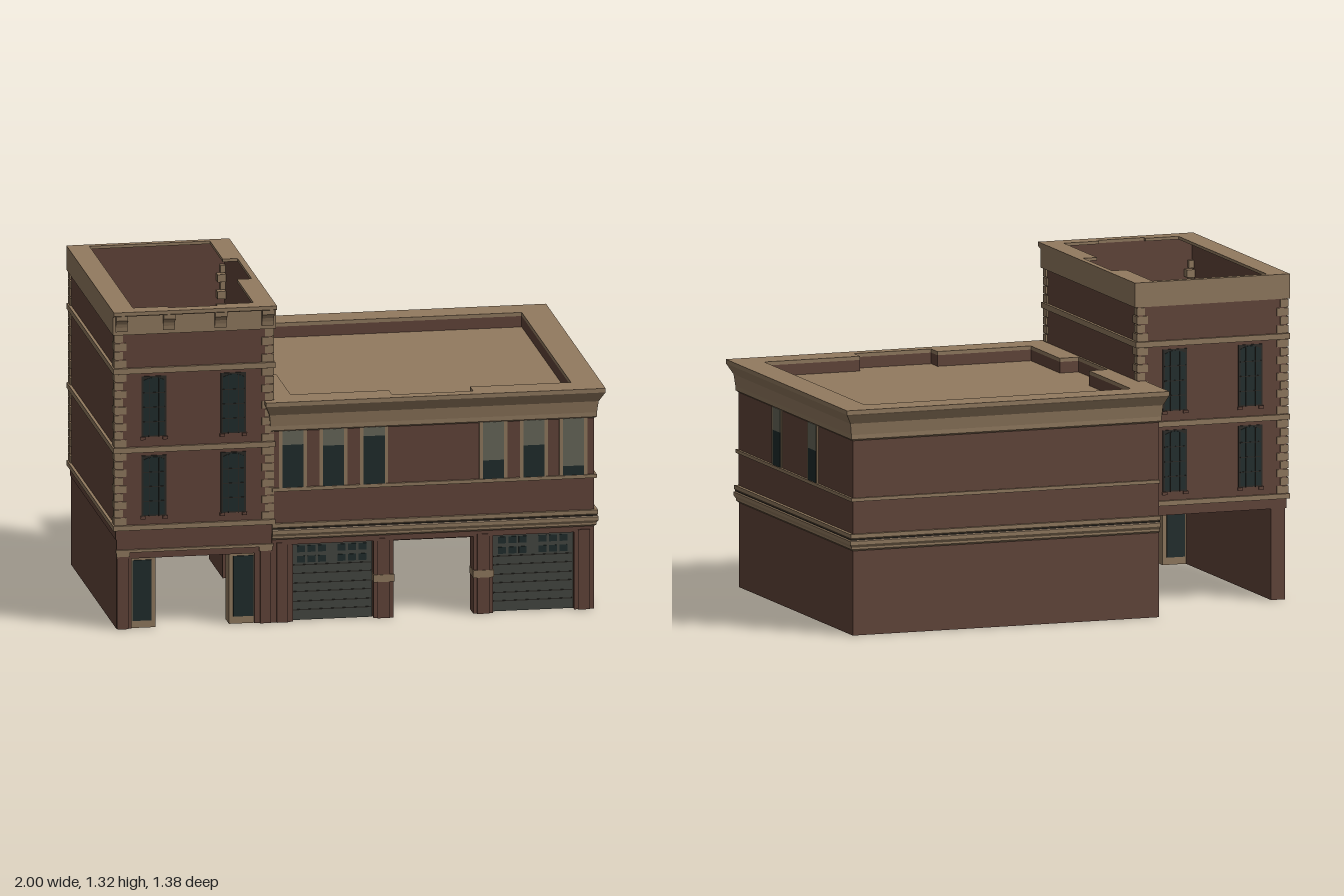
import * as THREE from 'three';

const mat = (name, color, side = THREE.FrontSide) => {
  const m = new THREE.MeshStandardMaterial({ color, side });
  m.name = name;
  return m;
};

export function createModel() {
  const brick = mat('brick', 0x624439, THREE.DoubleSide), stone = mat('stone', 0x927a5f);
  const glass = mat('dark glass', 0x1f2c2c), blind = mat('window blind', 0x67685a);
  const door = mat('garage door', 0x444741), dark = mat('dark trim', 0x2b2925);
  const root = new THREE.Group();
  root.name = 'cornerBuilding';

  const add = (parent, name, geo, m) => {
    const mesh = new THREE.Mesh(geo, m);
    mesh.name = name;
    parent.add(mesh);
    return mesh;
  };
  const group = (name, parent = root) => {
    const g = new THREE.Group();
    g.name = name;
    parent.add(g);
    return g;
  };
  // Box given by its limits
  const box = (parent, name, m, x0, x1, y0, y1, z0, z1) => {
    const mesh = add(parent, name, new THREE.BoxGeometry(x1 - x0, y1 - y0, z1 - z0), m);
    mesh.position.set((x0 + x1) / 2, (y0 + y1) / 2, (z0 + z1) / 2);
    return mesh;
  };
  const rect = (x0, x1, z0, z1) => [[x0, z1], [x1, z1], [x1, z0], [x0, z0]];
  // Floor plan outline [x, z] with a hole, raised from y0 to y1
  const plan = (parent, name, m, outer, hole, y0, y1) => {
    const pts = a => a.map(([x, z]) => new THREE.Vector2(x, -z));
    const s = new THREE.Shape(pts(outer));
    s.holes.push(new THREE.Path(pts(hole)));
    const geo = new THREE.ExtrudeGeometry(s, { depth: y1 - y0, bevelEnabled: false });
    geo.rotateX(-Math.PI / 2).translate(0, y0, 0);
    return add(parent, name, geo, m);
  };
  // Skin through successive rings of points
  const skin = (parent, name, m, rings) => {
    const v = [];
    for (let i = 0; i + 1 < rings.length; i++) {
      const lo = rings[i], hi = rings[i + 1];
      lo.forEach((a, j) => {
        const n = (j + 1) % lo.length;
        v.push(...a, ...lo[n], ...hi[n], ...a, ...hi[n], ...hi[j]);
      });
    }
    const geo = new THREE.BufferGeometry();
    geo.setAttribute('position', new THREE.Float32BufferAttribute(v, 3));
    geo.computeVertexNormals();
    return add(parent, name, geo, m);
  };
  // Hollow wall, open at top and bottom
  const wall = (parent, name, outline, y0, y1) =>
    skin(parent, name, brick, [y0, y1].map(y => outline.map(([x, z]) => [x, y, z])));
  // Moulding: profile [offset, y] run around a rectangle with mitred corners;
  // k scales the offset on the left, right, back and front sides
  const moulding = (parent, name, m, [x0, x1, z0, z1], profile, k = [1, 1, 1, 1]) =>
    skin(parent, name, m, profile.map(([o, y]) =>
      rect(x0 - o * k[0], x1 + o * k[1], z0 - o * k[2], z1 + o * k[3]).map(([x, z]) => [x, y, z])));
  const band = (parent, name, m, r, y0, y1, o, k) =>
    moulding(parent, name, m, r, [[0, y0], [o, y0], [o, y1], [0, y1]], k);

  const main = [-0.35, 0.96, -0.65, 0.65], tower = [-0.985, -0.35, -0.41, 0.65];
  const block = [brick, brick, stone, stone, brick, brick]; // stone roof and ceiling

  // ---- Main block, ground floor: open in the middle bay and towards the tower
  const ground = group('mainGroundFloor');
  wall(ground, 'backAndSideWalls', [[0.96, 0.645], [0.96, -0.65], [-0.35, -0.65], [-0.35, -0.405], [-0.42, -0.405],
    [-0.42, -0.09], [-0.26, -0.09], [-0.26, -0.42], [-0.22, -0.53], [-0.1, -0.57], [0.72, -0.57], [0.84, -0.53],
    [0.88, -0.42], [0.88, 0.645]], 0, 0.37);
  wall(ground, 'dividerFront', rect(-0.42, -0.262, 0.24, 0.642), 0, 0.37);
  box(ground, 'lintel', brick, -0.35, 0.88, 0.32, 0.36, 0.57, 0.648);
  for (const [x0, x1] of [[-0.345, -0.27], [0.065, 0.145], [0.47, 0.55], [0.88, 0.959]]) {
    wall(ground, 'pier', rect(x0, x1, 0.572, 0.645), 0, 0.325);
    box(ground, 'pierFace', brick, x0 + 0.015, x1 - 0.015, 0, 0.33, 0.64, 0.652);
  }
  for (const x of [0.105, 0.51]) box(ground, 'pierStone', stone, x - 0.042, x + 0.042, 0.15, 0.18, 0.568, 0.654);

  // Garage doors
  for (const x of [-0.102, 0.715]) {
    const g = group('garageDoor');
    box(g, 'doorPanel', door, x - 0.168, x + 0.165, 0, 0.325, 0.6, 0.62);
    for (const y of [0.04, 0.075, 0.115, 0.15, 0.19, 0.225])
      box(g, 'panelJoint', dark, x - 0.16, x + 0.16, y, y + 0.004, 0.598, 0.622);
    for (const y of [0.237, 0.28])
      for (const dx of [-0.125, -0.082, -0.04, 0.04, 0.082, 0.125])
        box(g, 'doorLight', glass, x + dx - 0.016, x + dx + 0.016, y, y + 0.027, 0.597, 0.623);
  }

  // ---- Main block, upper floor
  const upper = group('mainUpperFloor');
  box(upper, 'upperWalls', block, -0.35, 0.96, 0.36, 0.86, -0.65, 0.65);
  const mainHole = [[-0.26, -0.57], [0.88, -0.57], [0.88, 0.57], [0.47, 0.57], [0.47, 0.64], [0.14, 0.64],
    [0.14, 0.57], [-0.26, 0.57], [-0.26, 0.24], [-0.34, 0.24], [-0.34, -0.09], [-0.26, -0.09]];
  plan(upper, 'parapet', brick, rect(...main), mainHole, 0.86, 0.905);
  plan(upper, 'parapetCap', stone, rect(...main), mainHole, 0.905, 0.92);
  moulding(upper, 'mainCornice', stone, main, [[0, 0.79], [0.01, 0.797], [0.01, 0.815], [0.016, 0.862],
    [0.036, 0.897], [0.04, 0.903], [0.04, 0.92], [0, 0.92]], [0.75, 1, 1, 1]);
  band(upper, 'sillBand', stone, main, 0.544, 0.558, 0.01, [0, 1, 1, 1]);
  moulding(upper, 'streetCornice', stone, main, [[0, 0.343], [0.008, 0.35], [0.008, 0.358], [0.016, 0.37],
    [0.016, 0.384], [0.01, 0.388], [0.01, 0.391], [0.014, 0.396], [0.014, 0.412], [0, 0.412]], [0, 1, 1, 1]);
  band(upper, 'corniceShadowLine', dark, main, 0.387, 0.391, 0.0105, [0, 1, 1, 1]);

  // Sash windows with drawn blinds, built facing +z
  const sashWindow = (x, z, blindY, turn) => {
    const g = group('sashWindow', upper);
    box(g, 'windowFrame', stone, -0.057, 0.057, 0.556, 0.8, -0.004, 0.005);
    box(g, 'windowBlind', blind, -0.043, 0.043, blindY, 0.793, 0.002, 0.007);
    box(g, 'windowGlass', glass, -0.043, 0.043, 0.558, blindY, 0.002, 0.007);
    g.position.set(x, 0, z);
    g.rotation.y = turn;
  };
  [[-0.265, 0.735], [-0.1, 0.725], [0.065, 0.757], [0.55, 0.635], [0.715, 0.69], [0.875, 0.597]]
    .forEach(([x, y]) => sashWindow(x, 0.65, y, 0));
  [[0.205, 0.7], [-0.2, 0.688]].forEach(([z, y]) => sashWindow(0.96, z, y, Math.PI / 2));

  // ---- Tower, ground floor: a drive-through passage
  const passage = group('towerPassage');
  wall(passage, 'leftWall', rect(-0.98, -0.92, -0.41, 0.642), 0, 0.38);
  box(passage, 'passageLintel', brick, -0.98, -0.35, 0.29, 0.37, 0.57, 0.645);
  for (const [x0, x1] of [[-0.932, -0.82], [-0.522, -0.405]]) {
    box(passage, 'shopfrontFrame', stone, x0, x1, 0, 0.29, 0.56, 0.635);
    box(passage, 'shopfrontGlass', glass, x0 + 0.017, x1 - 0.017, 0.03, 0.28, 0.555, 0.64);
  }
  for (const x of [-0.955, -0.375]) {
    box(passage, 'pilaster', brick, x - 0.022, x + 0.022, 0, 0.31, 0.635, 0.65);
    box(passage, 'pilasterCap', stone, x - 0.027, x + 0.027, 0.3, 0.32, 0.635, 0.654);
  }
  box(passage, 'lintelMoulding', stone, -0.985, -0.345, 0.317, 0.328, 0.64, 0.655);

  // ---- Tower, upper floors
  const top = group('towerUpperFloors');
  box(top, 'towerWalls', block, -0.985, -0.35, 0.37, 1.03, -0.41, 0.65);
  const towerHole = [[-0.91, -0.385], [-0.42, -0.385], [-0.42, -0.09], [-0.36, -0.09], [-0.36, 0.24], [-0.42, 0.24],
    [-0.42, 0.62], [-0.57, 0.62], [-0.57, 0.64], [-0.77, 0.64], [-0.77, 0.62], [-0.91, 0.62]];
  // Thin parapet walls under a wide coping
  plan(top, 'towerParapet', brick, rect(...tower), rect(-0.977, -0.358, -0.402, 0.642), 1.03, 1.308);
  plan(top, 'towerParapetCap', stone, rect(...tower), towerHole, 1.308, 1.32);
  band(top, 'towerFrieze', stone, tower, 1.22, 1.32, 0.014, [1, 1, 0.2, 1]);
  moulding(top, 'towerCornice', stone, [-0.999, -0.336, -0.41, 0.66],
    [[0, 1.295], [0.027, 1.302], [0.03, 1.305], [0.03, 1.32], [0, 1.32]], [0, 0, 0, 1]);
  // Curved brackets under the front cornice
  const bracket = new THREE.Shape().moveTo(0.65, 1.235).lineTo(0.67, 1.235);
  bracket.quadraticCurveTo(0.672, 1.275, 0.688, 1.285).lineTo(0.688, 1.308).lineTo(0.65, 1.308);
  for (const x of [-0.965, -0.772, -0.562, -0.37]) {
    const geo = new THREE.ExtrudeGeometry(bracket, { depth: 0.048, bevelEnabled: false, curveSegments: 4 });
    add(top, 'corniceBracket', geo.rotateY(-Math.PI / 2), stone).position.x = x + 0.024;
  }
  for (const [y0, y1] of [[0.41, 0.43], [0.73, 0.752], [1.057, 1.08]])
    band(top, 'towerBand', stone, tower, y0, y1, 0.012);

  // Corner quoins, alternating long and short
  for (const [y0, y1, n] of [[0.43, 0.73, 9], [0.752, 1.057, 9], [1.08, 1.22, 4]])
    for (let i = 0; i < n; i++) {
      const h = (y1 - y0) / n, y = y0 + i * h, s = i % 2 ? 0.028 : 0.042;
      for (const [x, sx] of [[tower[0], 1], [tower[1], -1]])
        for (const [z, sz] of [[tower[2], 1], [tower[3], -1]]) {
          const xs = [x - sx * 0.007, x + sx * s].sort((a, b) => a - b);
          const zs = [z - sz * 0.005, z + sz * s].sort((a, b) => a - b);
          box(top, 'quoin', stone, xs[0], xs[1], y + 0.002, y + h - 0.002, zs[0], zs[1]);
        }
    }

  // Tower windows with gently arched panes, front and back
  const arch = new THREE.Shape().moveTo(-0.043, 0).lineTo(0.043, 0).lineTo(0.043, 0.227);
  arch.quadraticCurveTo(0, 0.251, -0.043, 0.227);
  for (const [z, turn] of [[0.65, 0], [-0.41, Math.PI]])
    for (const x of [-0.83, -0.507])
      for (const y of [0.465, 0.793]) {
        const g = group('towerWindow', top);
        box(g, 'windowSurround', dark, -0.051, 0.051, 0, 0.25, -0.002, 0.004);
        const pane = new THREE.ExtrudeGeometry(arch, { depth: 0.004, bevelEnabled: false, curveSegments: 6 });
        add(g, 'archedGlass', pane, glass).position.set(0, 0.006, 0.003);
        for (const bx of [-0.02, 0.02]) box(g, 'mullion', dark, bx - 0.0015, bx + 0.0015, 0, 0.24, 0.003, 0.009);
        for (const by of [0.06, 0.12, 0.18]) box(g, 'glazingBar', dark, -0.045, 0.045, by, by + 0.004, 0.003, 0.009);
        for (const bx of [-0.045, 0.045]) box(g, 'sillBlock', brick, bx - 0.01, bx + 0.01, -0.012, 0, 0, 0.01);
        g.position.set(x, y, z);
        g.rotation.y = turn;
      }
  return root;
}
